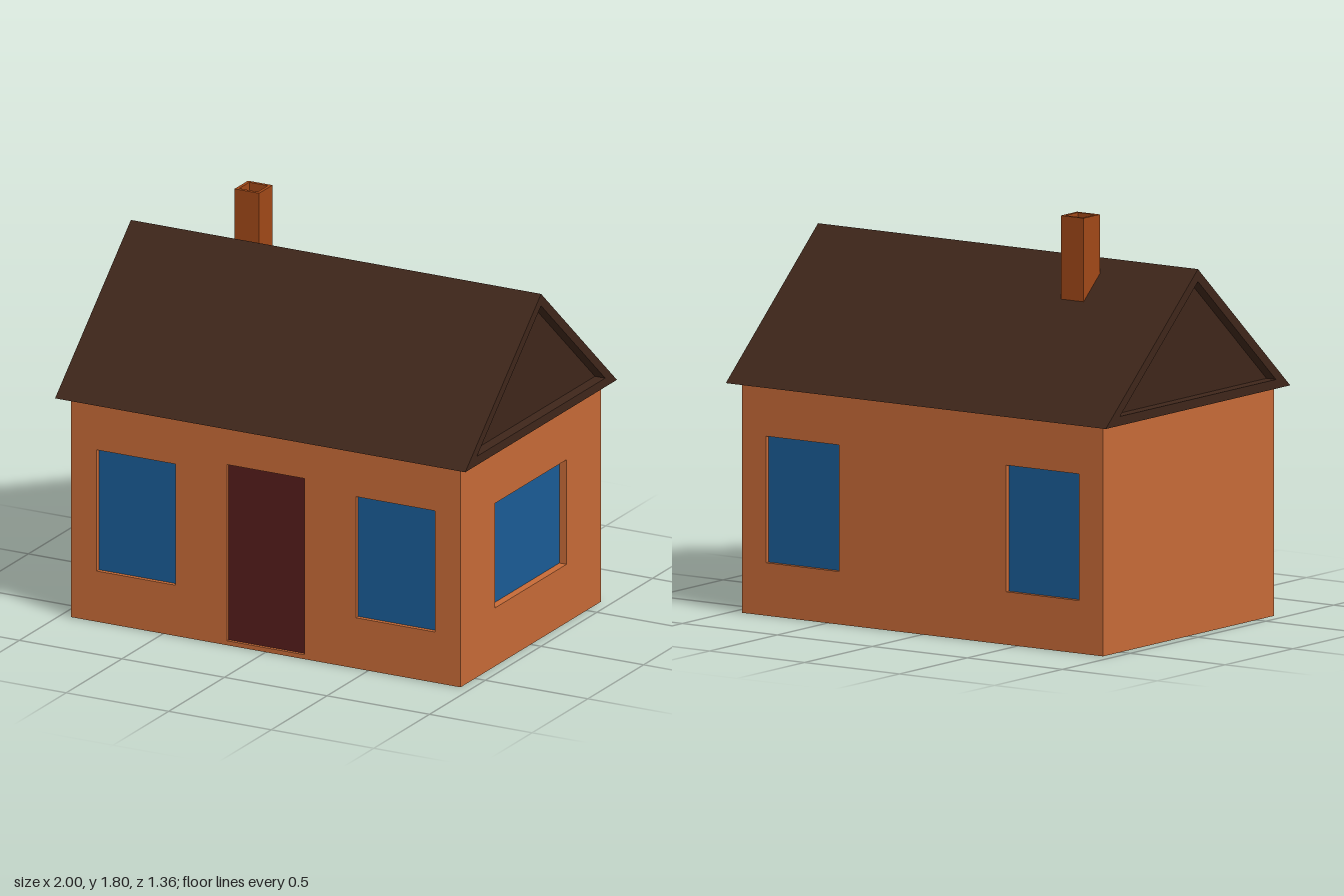
import * as THREE from 'three';

const mat = (color) => new THREE.MeshStandardMaterial({ color, flatShading: true });
const BRICK = mat(0xc66a37), ROOF = mat(0x3f261a), GLASS = mat(0x1a5c96), DOOR = mat(0x551c1b), STACK = mat(0xa04818);

const HALF_X = 0.95, HALF_Z = 0.63, WALL_H = 1.0, THICK = 0.05;

function add(parent, name, geometry, material, x = 0, y = 0, z = 0) {
  const mesh = new THREE.Mesh(geometry, material);
  mesh.name = name;
  mesh.position.set(x, y, z);
  parent.add(mesh);
  return mesh;
}

const polygon = (points) => points.map(([x, y]) => new THREE.Vector2(x, y));
const rect = (x0, y0, x1, y1) => polygon([[x0, y0], [x1, y0], [x1, y1], [x0, y1]]);

function extrude(outline, holes, depth) {
  const shape = new THREE.Shape(outline);
  holes.forEach((h) => shape.holes.push(new THREE.Path(h)));
  return new THREE.ExtrudeGeometry(shape, { depth, bevelEnabled: false });
}

// A wall facing local +z, with recessed panels filling its openings
function makeWall(name, halfWidth, distance, angle, openings) {
  const wall = new THREE.Group();
  wall.name = name;
  const holes = openings.map((o) => rect(o.x0, o.y0, o.x1, o.y1));
  add(wall, 'wallPanel', extrude(rect(-halfWidth, 0, halfWidth, WALL_H), holes, THICK), BRICK, 0, 0, distance - THICK);
  for (const o of openings) {
    const depth = THICK - o.recess;
    add(wall, o.name, new THREE.BoxGeometry(o.x1 - o.x0, o.y1 - o.y0, depth), o.material,
      (o.x0 + o.x1) / 2, (o.y0 + o.y1) / 2, distance - o.recess - depth / 2);
  }
  wall.rotation.y = angle;
  return wall;
}

export function createModel() {
  const house = new THREE.Group();
  house.name = 'house';

  // Openings
  const smallWindow = { name: 'window', y0: 0.23, y1: 0.78, recess: 0.02, material: GLASS };
  const windows = [
    { ...smallWindow, x0: -0.825, x1: -0.44 },
    { ...smallWindow, x0: 0.44, x1: 0.825 },
  ];
  const door = { name: 'door', x0: -0.19, x1: 0.19, y0: 0.02, y1: 0.82, recess: 0.015, material: DOOR };
  const wideWindow = { name: 'wideWindow', x0: -0.32, x1: 0.32, y0: 0.265, y1: 0.74, recess: 0.035, material: GLASS };

  // Walls and floor
  const sideHalf = HALF_Z - THICK;
  house.add(
    makeWall('frontWall', HALF_X, HALF_Z, 0, [...windows, door]),
    makeWall('backWall', HALF_X, HALF_Z, Math.PI, windows),
    makeWall('leftWall', sideHalf, HALF_X, Math.PI / 2, [wideWindow]),
    makeWall('rightWall', sideHalf, HALF_X, -Math.PI / 2, []),
  );
  add(house, 'floor', new THREE.BoxGeometry(2 * (HALF_X - THICK), 0.02, 2 * sideHalf), BRICK, 0, 0.01, 0);

  // Gabled roof: solid core with a raised rim around each gable
  const roof = new THREE.Group();
  roof.name = 'roof';
  const gable = polygon([[-0.68, 1], [0.68, 1], [0, 1.6]]);
  const inset = polygon([[-0.575, 1.04], [0.575, 1.04], [0, 1.546]]);
  add(roof, 'roofCore', extrude(gable, [], 1.9), ROOF, 0, 0, -0.95);
  for (const z of [-1, 0.95]) add(roof, 'gableRim', extrude(gable, [inset], 0.05), ROOF, 0, 0, z);
  roof.rotation.y = Math.PI / 2;
  house.add(roof);

  // Chimney: square tube with a shallow open flue
  const chimney = new THREE.Group();
  chimney.name = 'chimney';
  const stack = add(chimney, 'chimneyStack',
    extrude(rect(-0.06, -0.06, 0.06, 0.06), [rect(-0.045, -0.045, 0.045, 0.045)], 0.5), STACK, 0, 1.3, 0);
  stack.rotation.x = -Math.PI / 2;
  add(chimney, 'flueFloor', new THREE.BoxGeometry(0.09, 0.05, 0.09), STACK, 0, 1.725, 0);
  chimney.position.set(-0.47, 0, -0.125);
  house.add(chimney);

  return house;
}
